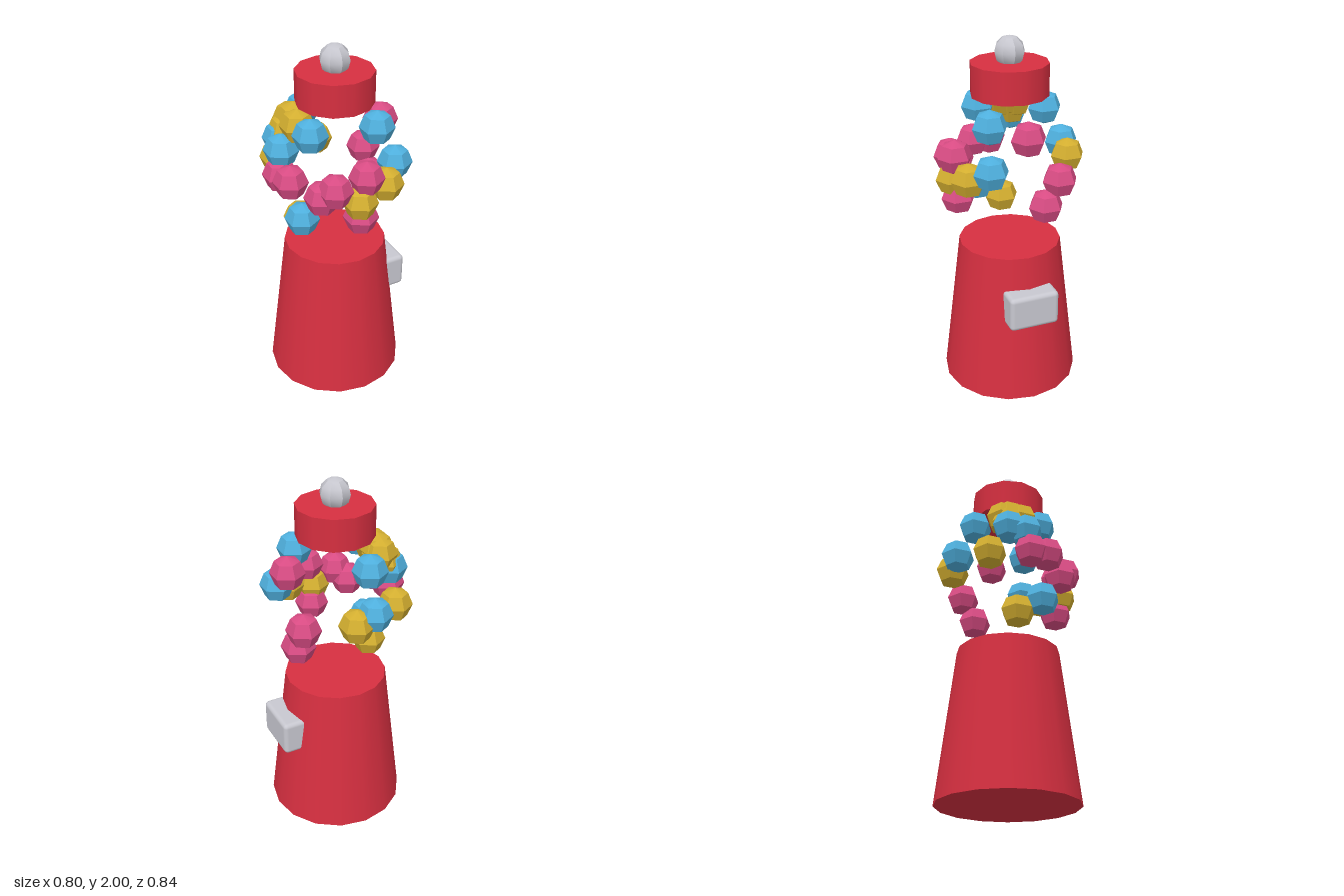
import * as THREE from 'three';
import { toCreasedNormals } from 'three/addons/utils/BufferGeometryUtils.js';
import { RoundedBoxGeometry } from 'three/addons/geometries/RoundedBoxGeometry.js';

const CREASE = 0.53; // just over 30 degrees

function makeMaterial(name, color) {
  const m = new THREE.MeshStandardMaterial({ color });
  m.name = name;
  return m;
}

export function createModel() {
  const model = new THREE.Group();
  model.name = 'gumballMachine';
  const red = makeMaterial('red', 0xd62f40);
  const silver = makeMaterial('silver', 0xc8c8d0);
  const pink = makeMaterial('pink', 0xd94c84);
  const blue = makeMaterial('blue', 0x4fb0de);
  const yellow = makeMaterial('yellow', 0xd4af30);
  const axisX = 0.008; // the coin plate pushes the body slightly off centre

  function add(name, geometry, material, x, y, z, parent = model) {
    const mesh = new THREE.Mesh(geometry, material);
    mesh.name = name;
    mesh.position.set(x, y, z);
    parent.add(mesh);
    return mesh;
  }

  // Tapered base, lid and knob
  add('base', new THREE.CylinderGeometry(0.285, 0.387, 0.85, 16), red, axisX, 0.425, 0);
  add('lid', new THREE.CylinderGeometry(0.21, 0.21, 0.175, 12), red, axisX, 1.774, 0);
  add('knob', toCreasedNormals(new THREE.SphereGeometry(0.083, 8, 6), CREASE), silver, axisX, 1.917, 0);

  // Coin plate on the side of the base
  add('coinPlate', new RoundedBoxGeometry(0.148, 0.2, 0.284, 2, 0.025), silver, 0.324, 0.568, 0);

  // Loose ring of faceted sweets: x, y, z of each, grouped by colour
  const ball = toCreasedNormals(new THREE.SphereGeometry(0.096, 6, 4).rotateY(Math.PI / 2), CREASE);
  const sweets = [
    ['pinkSweet', pink, [
      [0.283, 1.53, 0.005], [0.283, 1.28, -0.175], [0.28, 1.14, -0.1],
      [0.026, 1.385, 0.317], [0.008, 1.145, 0.297], [-0.14, 1.335, 0.29],
      [-0.19, 1.28, 0.235], [-0.305, 1.34, 0.105], [-0.316, 1.335, 0],
    ]],
    ['blueSweet', blue, [
      [-0.19, 1.58, 0.11], [0.166, 1.575, 0.17], [0.263, 1.365, 0.2],
      [-0.297, 1.465, -0.02], [-0.263, 1.49, -0.108], [-0.07, 1.565, -0.235],
      [-0.05, 1.365, -0.33], [-0.24, 1.095, 0.1],
    ]],
    ['yellowSweet', yellow, [
      [-0.207, 1.59, -0.008], [-0.194, 1.6, -0.08], [-0.194, 1.585, -0.117],
      [-0.235, 1.53, -0.1], [-0.24, 1.32, -0.212], [0.052, 1.32, -0.323],
      [0.162, 1.3, 0.288], [-0.01, 1.25, 0.32], [-0.19, 1.02, -0.026],
    ]],
  ];
  for (const [name, material, places] of sweets) {
    const group = new THREE.Group();
    group.name = name + 's';
    model.add(group);
    for (const [x, y, z] of places) add(name, ball, material, x, y, z, group);
  }
  return model;
}
